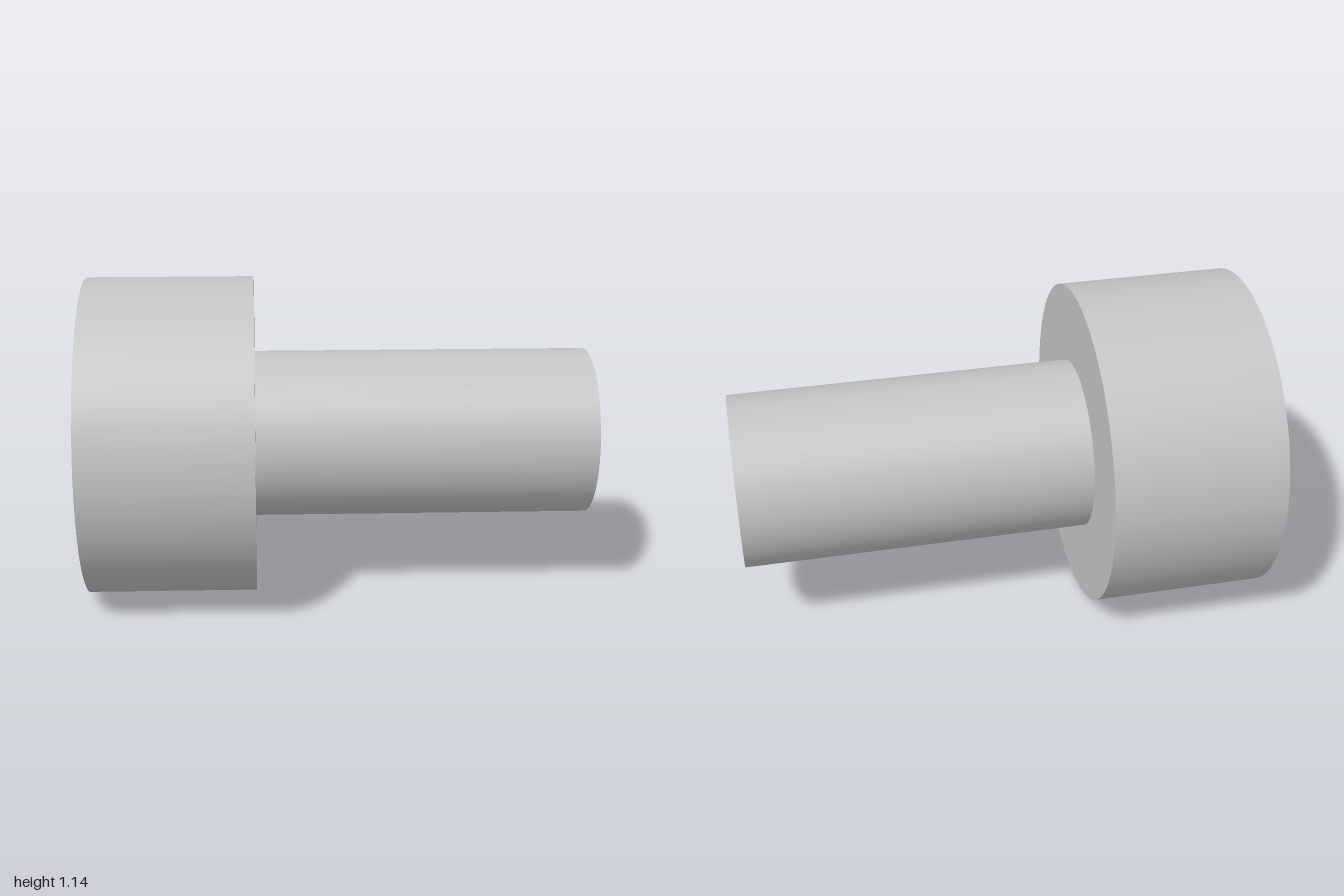
import * as THREE from 'three';

const HEAD_R = 0.571, HEAD_LEN = 0.6;
const SHAFT_R = 0.3, SHAFT_LEN = 1.205;
const HEX_R = 0.26, HEX_DEPTH = 0.36;
const SIDES = 96;

// Points of a regular polygon, first corner on +x
function polygon(radius, sides) {
  return Array.from({ length: sides }, (_, i) => {
    const a = (i / sides) * Math.PI * 2;
    return new THREE.Vector2(Math.cos(a) * radius, Math.sin(a) * radius);
  });
}

export function createModel() {
  const steel = new THREE.MeshStandardMaterial({ color: 0xc4c4c4 });
  steel.name = 'steelGrey';

  const bolt = new THREE.Group();
  bolt.name = 'socketHeadBolt';
  const add = (name, geometry, z = 0) => {
    const mesh = new THREE.Mesh(geometry, steel);
    mesh.name = name;
    mesh.position.z = z;
    bolt.add(mesh);
  };

  // Local frame: the axis is z, the socket face lies at z = 0 and faces +z
  const headSide = new THREE.CylinderGeometry(HEAD_R, HEAD_R, HEAD_LEN, SIDES, 1, true);
  add('headSide', headSide.rotateX(Math.PI / 2), -HEAD_LEN / 2);

  // Head face with the hexagonal opening
  const face = new THREE.Shape(polygon(HEAD_R, SIDES));
  face.holes.push(new THREE.Path(polygon(HEX_R, 6)));
  add('headFace', new THREE.ShapeGeometry(face));

  // Underside of the head around the shaft
  const underside = new THREE.RingGeometry(SHAFT_R, HEAD_R, SIDES);
  add('headUnderside', underside.rotateY(Math.PI), -HEAD_LEN);

  // Socket walls, mirrored so that they face inward, and the socket floor
  const walls = new THREE.CylinderGeometry(HEX_R, HEX_R, HEX_DEPTH, 6, 1, true, Math.PI / 2)
    .toNonIndexed().rotateX(Math.PI / 2).scale(1, 1, -1);
  walls.computeVertexNormals();
  add('socketWalls', walls, -HEX_DEPTH / 2);
  add('socketFloor', new THREE.ShapeGeometry(new THREE.Shape(polygon(HEX_R, 6))), -HEX_DEPTH);

  // Plain shaft
  const shaft = new THREE.CylinderGeometry(SHAFT_R, SHAFT_R, SHAFT_LEN, SIDES);
  add('shaft', shaft.rotateX(Math.PI / 2), -HEAD_LEN - SHAFT_LEN / 2);

  // Lay the bolt down, turned 60 degrees about the vertical
  bolt.rotation.y = -Math.PI / 3;
  bolt.position.set(-0.715, HEAD_R, 0.33);

  const model = new THREE.Group();
  model.name = 'model';
  model.add(bolt);
  return model;
}
